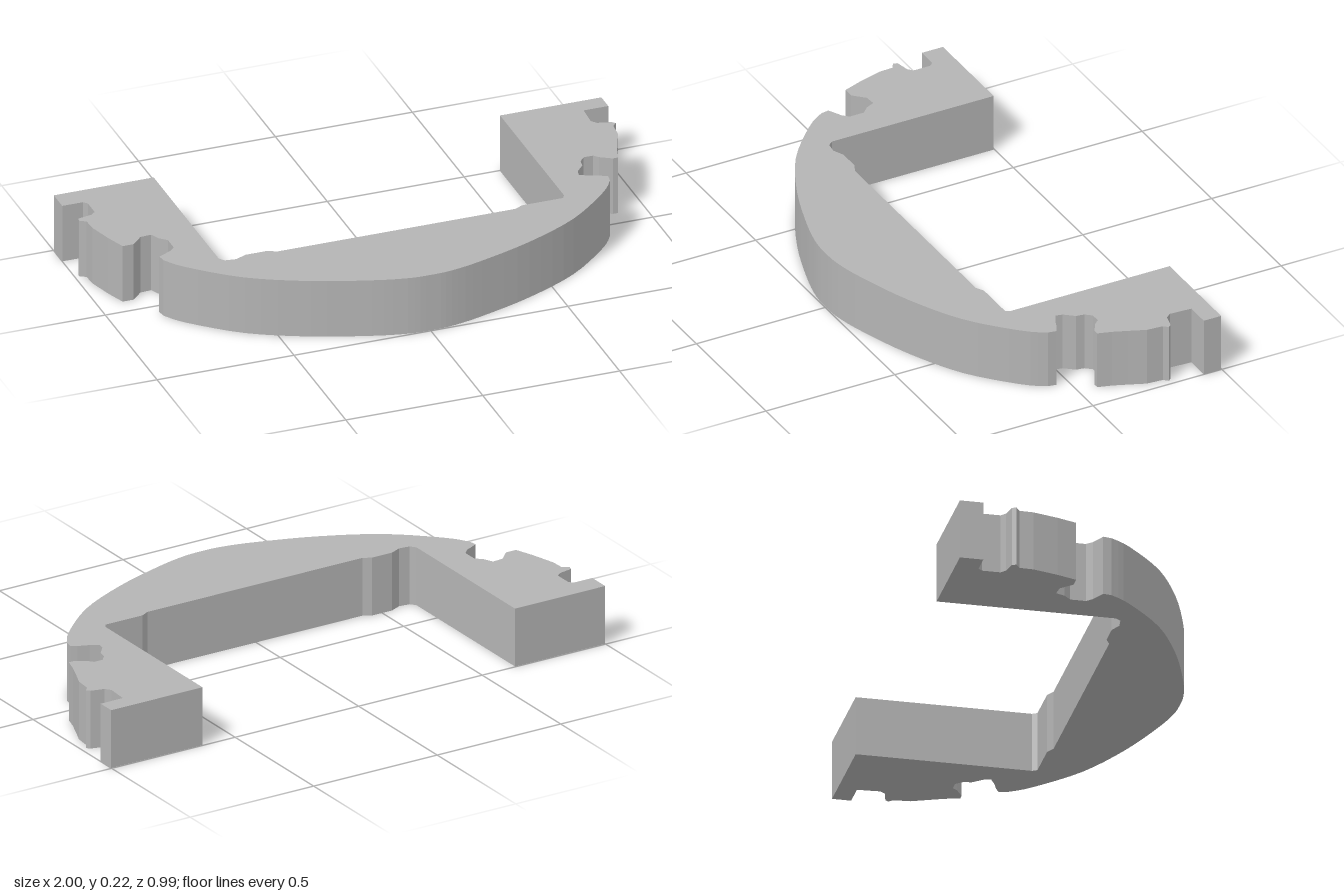
import * as THREE from 'three';

const HEIGHT = 0.215;

// Outline points are [x, z] as seen from above.
const leftClipEdge = [
  [1, -0.497], [1, -0.43], [0.91, -0.43], [0.905, -0.35], [0.92, -0.33],
  [0.97, -0.317], [0.98, -0.305], [0.965, -0.29], [0.96, -0.23], [0.935, -0.17],
  [0.915, -0.12], [0.9, -0.07], [0.88, -0.07], [0.84, -0.095], [0.825, -0.113],
  [0.79, -0.113], [0.77, -0.09], [0.765, -0.06], [0.735, -0.025], [0.73, 0],
  [0.76, 0.017], [0.8, 0.033], [0.82, 0.045],
];
const rightClipEdge = [
  [-0.82, 0.045], [-0.77, 0.02], [-0.75, 0], [-0.75, -0.055], [-0.775, -0.08],
  [-0.79, -0.113], [-0.83, -0.11], [-0.87, -0.07], [-0.91, -0.07], [-0.935, -0.14],
  [-0.96, -0.23], [-0.962, -0.28], [-0.985, -0.295], [-0.98, -0.31], [-0.93, -0.32],
  [-0.912, -0.335], [-0.912, -0.4], [-0.925, -0.415], [-1, -0.415], [-1, -0.497],
];
const innerEdge = [
  [-0.635, -0.497], [-0.635, 0.13], [-0.62, 0.15], [-0.58, 0.155], [-0.54, 0.137],
  [-0.46, 0.137], [-0.43, 0.153], [0.44, 0.153], [0.47, 0.137], [0.62, 0.137],
  [0.63, 0.12], [0.63, -0.497],
];
// Half of the bowed front, mirrored to make the whole curve
const bow = [[0.815, 0.075], [0.76, 0.15], [0.6, 0.29], [0.4, 0.393], [0.2, 0.463], [0.08, 0.492]];

// Shape y is flipped so that it becomes z after the outline is laid flat
const toShapePoint = ([x, z]) => new THREE.Vector2(x, -z);

export function createModel() {
  const group = new THREE.Group();
  group.name = 'bracket';
  const grey = new THREE.MeshStandardMaterial({ color: 0xb4b4b4 });
  grey.name = 'grey';

  // Smooth bow from the left side round to the right side
  const mirrored = bow.map(([x, z]) => [-x, z]).reverse();
  const bowCurve = new THREE.SplineCurve([...bow, [0, 0.497], ...mirrored].map(toShapePoint));

  const outline = [
    ...leftClipEdge.map(toShapePoint),
    ...bowCurve.getPoints(48),
    ...rightClipEdge.map(toShapePoint),
    ...innerEdge.map(toShapePoint),
  ];

  // U-shaped plate with notched arms
  const geometry = new THREE.ExtrudeGeometry(new THREE.Shape(outline), {
    depth: HEIGHT, bevelEnabled: false,
  });
  geometry.rotateX(-Math.PI / 2);
  const body = new THREE.Mesh(geometry, grey);
  body.name = 'notchedBody';
  group.add(body);
  return group;
}
